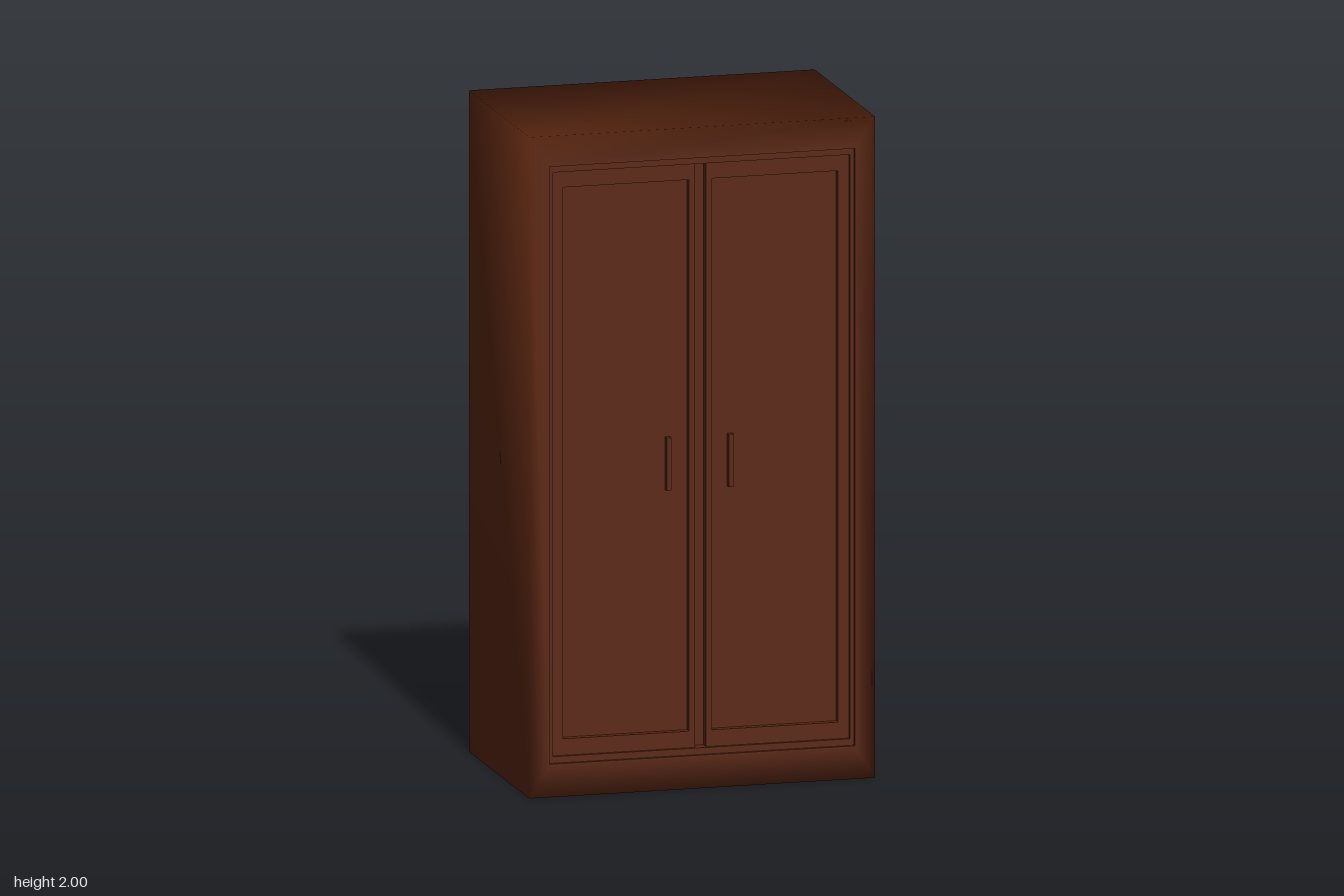
import * as THREE from 'three';

const FRONT = 0.333, BACK = -0.333;

// Rectangle of four corners, counter-clockwise seen from the front
const loop = (x0, x1, y0, y1, z) => [[x0, y0, z], [x1, y0, z], [x1, y1, z], [x0, y1, z]];

// Joins successive rectangles with shared (smoothly shaded) corners
function skin(loops, closeBack) {
  const index = [];
  for (let r = 0; r < loops.length - 1; r++) {
    for (let i = 0; i < 4; i++) {
      const a = r * 4 + i, b = r * 4 + (i + 1) % 4;
      index.push(a, b, b + 4, a, b + 4, a + 4);
    }
  }
  if (closeBack) index.push(0, 2, 1, 0, 3, 2);
  const g = new THREE.BufferGeometry();
  g.setAttribute('position', new THREE.Float32BufferAttribute(loops.flat(2), 3));
  g.setIndex(index);
  g.computeVertexNormals();
  return g;
}

function flat(geometry) {
  const g = geometry.toNonIndexed();
  g.computeVertexNormals();
  return g;
}

function rect(Type, x0, x1, y0, y1) {
  return new Type([[x0, y0], [x1, y0], [x1, y1], [x0, y1]].map(p => new THREE.Vector2(...p)));
}

// Rectangular frame with a rectangular opening, its face at z = face
function frame(outer, inner, face, depth) {
  const shape = rect(THREE.Shape, ...outer);
  shape.holes.push(rect(THREE.Path, ...inner));
  const g = new THREE.ExtrudeGeometry(shape, { depth, bevelEnabled: false });
  return g.translate(0, 0, face - depth);
}

export function createModel() {
  const wood = new THREE.MeshStandardMaterial({ color: 0x5a2610 });
  wood.name = 'dark wood';
  const model = new THREE.Group();
  model.name = 'wardrobe';

  const add = (name, geometry, parent = model) => {
    const mesh = new THREE.Mesh(geometry, wood);
    mesh.name = name;
    parent.add(mesh);
    return mesh;
  };

  // Cabinet body, with softly shaded corners and an open front
  const opening = [-0.468, 0.468, 0.1, 1.907];
  add('cabinet', skin([
    loop(-0.53, 0.53, 0, 2, BACK),
    loop(-0.53, 0.53, 0, 2, FRONT),
    loop(...opening, FRONT),
  ], true));

  // Jamb walls inside the opening and the stepped moulding around the doors
  add('jamb', flat(skin([loop(...opening, FRONT), loop(...opening, FRONT - 0.05)], false)));
  add('moulding', frame(opening, [-0.455, 0.455, 0.12, 1.887], FRONT - 0.01, 0.04));

  // Board behind the doors, seen in the gap between them
  const board = new THREE.BoxGeometry(0.936, 1.807, 0.02);
  add('backingBoard', board.translate(0, 1.0035, FRONT - 0.06));

  // Pair of doors, each with a sunken panel and an upright handle
  for (const side of [-1, 1]) {
    const door = new THREE.Group();
    door.name = side > 0 ? 'leftDoor' : 'rightDoor';
    model.add(door);
    const span = (a, b) => side > 0 ? [a, b] : [-b, -a];

    add('doorFrame', frame([...span(0.017, 0.455), 0.12, 1.887],
      [...span(0.035, 0.422), 0.17, 1.838], FRONT - 0.02, 0.03), door);

    const panel = add('doorPanel', new THREE.BoxGeometry(0.387, 1.668, 0.01), door);
    panel.position.set(side * 0.2285, 1.004, FRONT - 0.047);

    const handle = add('handle', new THREE.BoxGeometry(0.015, 0.16, 0.02), door);
    handle.position.set(side * 0.095, 0.98, FRONT - 0.033);
  }
  return model;
}
